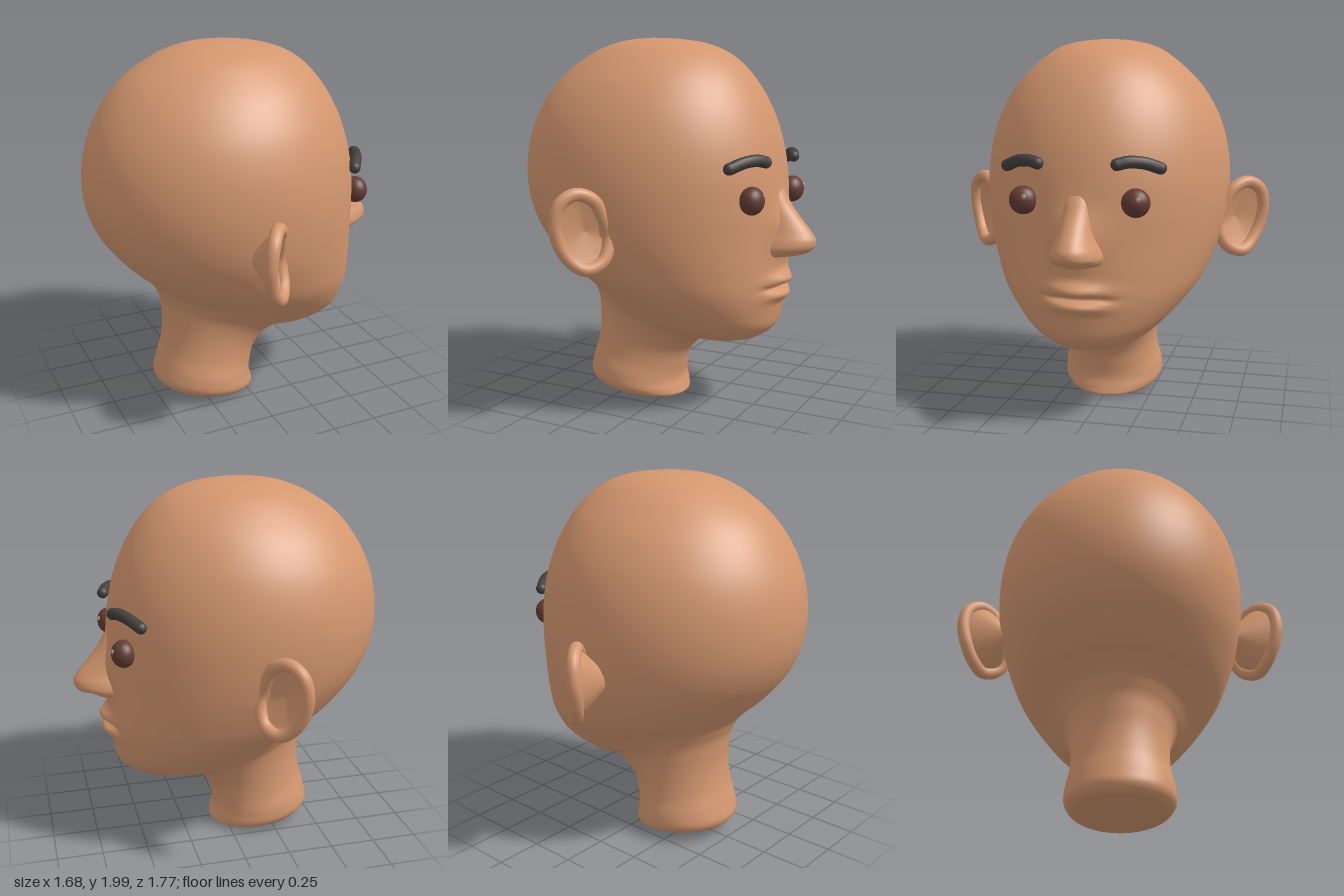
import * as THREE from 'three';

const mat = (name, color) => {
  const m = new THREE.MeshStandardMaterial({ color });
  m.name = name;
  return m;
};
const bell = (d, s) => Math.exp(-(d * d) / (s * s));

// Builds an indexed grid that wraps along its columns, so the normals have no seam
function grid(rows, cols, pointAt) {
  const pos = [], idx = [];
  for (let i = 0; i <= rows; i++)
    for (let j = 0; j < cols; j++) pos.push(...pointAt(i / rows, j / cols));
  for (let i = 0; i < rows; i++)
    for (let j = 0; j < cols; j++) {
      const a = i * cols + j, b = i * cols + (j + 1) % cols;
      idx.push(a, b, a + cols, b, b + cols, a + cols);
    }
  const g = new THREE.BufferGeometry();
  g.setAttribute('position', new THREE.Float32BufferAttribute(pos, 3));
  g.setIndex(idx);
  g.computeVertexNormals();
  return g;
}

// Smooth loft of tilted oval rings: [back x, back y, front x, front y, half width]
function loft(rings, rows, cols, shape) {
  const back = new THREE.CatmullRomCurve3(rings.map(r => new THREE.Vector3(r[0], r[1], r[4])));
  const front = new THREE.CatmullRomCurve3(rings.map(r => new THREE.Vector3(r[2], r[3], 0)));
  return grid(rows, cols, (t, s) => {
    const b = back.getPoint(t), f = front.getPoint(t), a = s * Math.PI * 2;
    const c = Math.cos(a);
    return shape(
      (b.x + f.x) / 2 + ((f.x - b.x) / 2) * c,
      (b.y + f.y) / 2 + ((f.y - b.y) / 2) * c,
      Math.max(b.z, 0) * Math.sin(a));
  });
}

export function createModel() {
  const model = new THREE.Group();
  model.name = 'head';
  const skin = mat('skin', 0xd4976f);
  const eyeBrown = mat('eyeBrown', 0x623c34);
  const browGrey = mat('browGrey', 0x433f3c);
  const glint = mat('eyeGlint', 0xc08a6c);
  const add = (geometry, material, name, parent = model) => {
    const mesh = new THREE.Mesh(geometry, material);
    mesh.name = name;
    parent.add(mesh);
    return mesh;
  };

  // Skull, jaw and neck in one loft, with lips and nose flanks raised from the face
  const skull = [
    [-0.12, 2.0, -0.12, 2.0, 0], [-0.28, 1.982, 0.05, 1.99, 0.15],
    [-0.43, 1.93, 0.2, 1.963, 0.28], [-0.6, 1.822, 0.33, 1.905, 0.395],
    [-0.71, 1.695, 0.44, 1.8, 0.51], [-0.79, 1.545, 0.535, 1.65, 0.6],
    [-0.83, 1.4, 0.6, 1.48, 0.65], [-0.84, 1.25, 0.635, 1.3, 0.67],
    [-0.82, 1.12, 0.645, 1.12, 0.665], [-0.77, 1.0, 0.645, 0.95, 0.642],
    [-0.7, 0.9, 0.65, 0.8, 0.602], [-0.62, 0.81, 0.65, 0.66, 0.55],
    [-0.56, 0.755, 0.635, 0.55, 0.487], [-0.52, 0.715, 0.61, 0.47, 0.427],
    [-0.49, 0.68, 0.53, 0.405, 0.372], [-0.47, 0.64, 0.42, 0.375, 0.33],
    [-0.45, 0.59, 0.3, 0.38, 0.295], [-0.44, 0.52, 0.18, 0.34, 0.268],
    [-0.435, 0.42, 0.1, 0.26, 0.255], [-0.45, 0.3, 0.07, 0.17, 0.26],
    [-0.48, 0.19, 0.06, 0.1, 0.28], [-0.495, 0.12, 0.075, 0.04, 0.28],
    [-0.47, 0.075, 0.08, 0.012, 0.25], [-0.38, 0.06, 0.04, 0.005, 0.18],
    [-0.2, 0.035, -0.2, 0.035, 0],
  ];
  add(loft(skull, 260, 96, (x, y, z) => {
    if (x > 0.4) {
      x += bell(z, 0.13) * (0.05 * bell(y - 0.735, 0.036) + 0.042 * bell(y - 0.652, 0.03));
      x -= 0.042 * Math.exp(-Math.pow(z / 0.15, 4)) * bell(y - 0.695, 0.012);
      x += 0.05 * bell(z, 0.13) * bell(y - 1.0, 0.14);
    }
    return [x, y, z];
  }), skin, 'skullAndNeck');

  // Nose: height, tip x, half width; the underside is dented for the nostrils
  const nose = [
    [1.25, 0.62, 0.05], [1.19, 0.662, 0.068], [1.12, 0.705, 0.08], [1.05, 0.762, 0.092],
    [0.99, 0.812, 0.11], [0.95, 0.835, 0.128], [0.915, 0.83, 0.138], [0.885, 0.795, 0.132],
    [0.865, 0.74, 0.11], [0.855, 0.68, 0.06], [0.852, 0.61, 0],
  ].map(([y, tip, w]) => [1.2 - tip, y, tip, y, w]);
  add(loft(nose, 60, 64, (x, y, z) => {
    const under = THREE.MathUtils.clamp((0.91 - y) / 0.03, 0, 1);
    const dent = bell(Math.abs(z) - 0.065, 0.026) * bell(x - 0.735, 0.035);
    return [x, y + 0.045 * under * dent, z];
  }), skin, 'nose');

  for (const side of [1, -1]) {
    const v = (x, y, z) => new THREE.Vector3(x, y, z * side);

    // Eye with a small glint
    const eye = new THREE.Group();
    eye.name = 'eye';
    eye.position.set(0.597, 1.178, 0.287 * side);
    model.add(eye);
    add(new THREE.SphereGeometry(0.072, 32, 24), eyeBrown, 'eyeball', eye).scale.x = 0.87;
    const spot = add(new THREE.SphereGeometry(0.013, 12, 8), glint, 'glint', eye);
    spot.position.set(0.057, 0.022, -0.022);
    spot.scale.x = 0.6;

    // Eyebrow: arched tube with rounded ends
    const arch = new THREE.CatmullRomCurve3([
      v(0.52, 1.343, 0.395), v(0.568, 1.37, 0.325), v(0.608, 1.377, 0.25), v(0.632, 1.366, 0.2),
    ]);
    const brow = new THREE.Group();
    brow.name = 'eyebrow';
    model.add(brow);
    add(new THREE.TubeGeometry(arch, 24, 0.031, 14), browGrey, 'browArch', brow);
    for (const t of [0, 1])
      add(new THREE.SphereGeometry(0.031, 14, 10), browGrey, 'browEnd', brow)
        .position.copy(arch.getPoint(t));

    // Ear: rolled rim, hollow bowl in front and a filled back
    const rim = new THREE.CatmullRomCurve3([
      v(-0.05, 1.1, 0.65), v(-0.075, 1.19, 0.7), v(-0.13, 1.222, 0.77), v(-0.178, 1.18, 0.832),
      v(-0.2, 1.08, 0.85), v(-0.188, 0.97, 0.828), v(-0.145, 0.885, 0.79), v(-0.09, 0.846, 0.745),
      v(-0.04, 0.88, 0.67), v(-0.035, 1.0, 0.62),
    ], true);
    const ear = new THREE.Group();
    ear.name = 'ear';
    model.add(ear);
    add(new THREE.TubeGeometry(rim, 80, 0.034, 14, true), skin, 'earRim', ear);
    // Sheet from the rim to a centre; turned marks the winding that faces the head
    const sheet = (centre, power, turned) => grid(12, 80, (t, s) => {
      const p = rim.getPointAt(turned ? (1 - s) % 1 : s);
      const k = Math.pow(t, power);
      return [
        THREE.MathUtils.lerp(p.x, centre.x, k),
        THREE.MathUtils.lerp(p.y, centre.y, t),
        THREE.MathUtils.lerp(p.z, centre.z, k),
      ];
    });
    add(sheet(v(-0.13, 1.03, 0.7), 0.75, side < 0), skin, 'earBowl', ear);
    add(sheet(v(-0.2, 1.03, 0.6), 0.8, side > 0), skin, 'earBack', ear);
  }
  return model;
}
